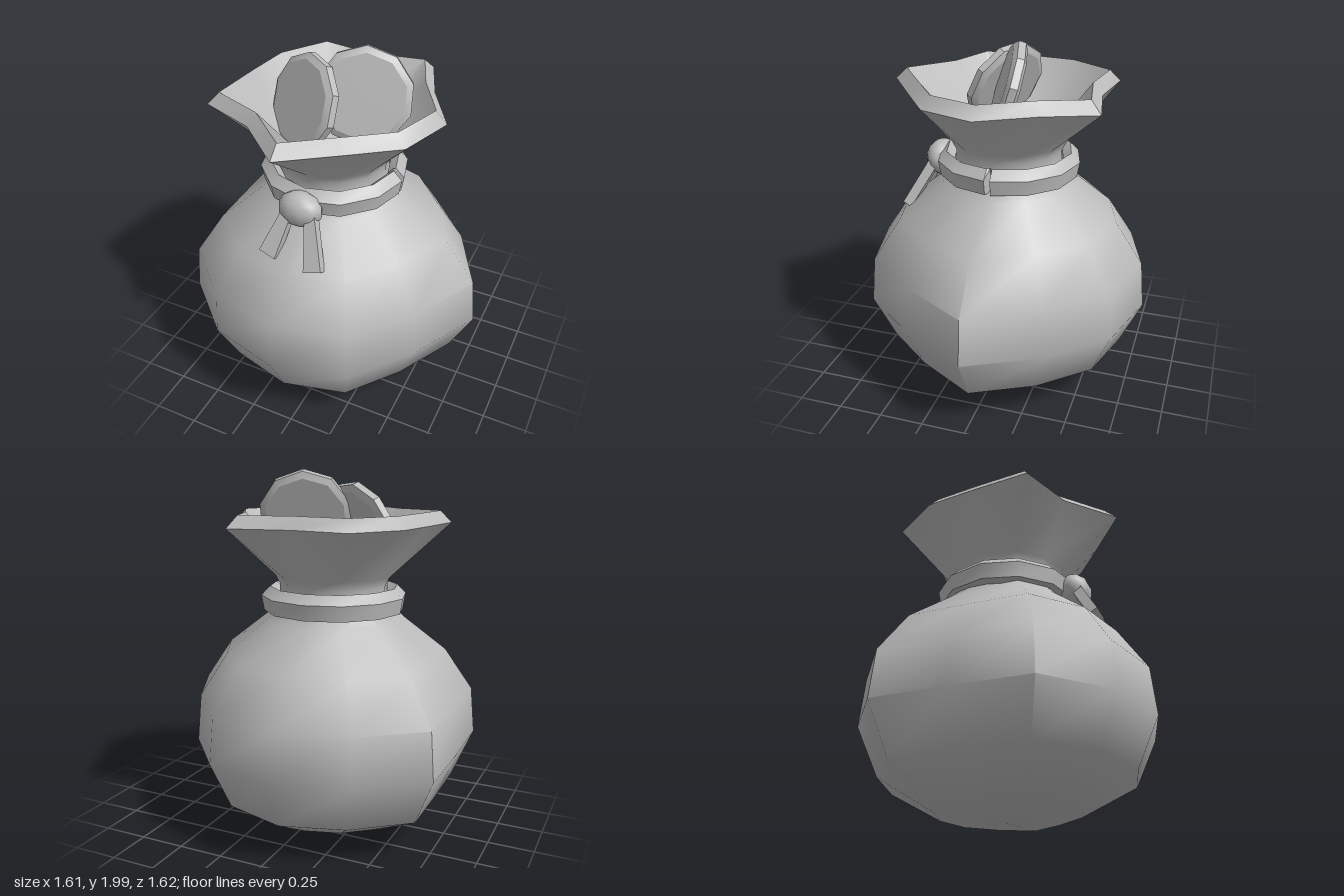
import * as THREE from 'three';
import { toCreasedNormals } from 'three/addons/utils/BufferGeometryUtils.js';

const CX = -0.07; // axis of the sack

// Skin a stack of closed rings (arrays of [x, y, z]), wound upward = outward
function loft(rings, crease) {
  const pos = [];
  const n = rings[0].length;
  const same = (p, q) => p.every((v, k) => Math.abs(v - q[k]) < 1e-6);
  const tri = (p, q, r) => {
    if (!same(p, q) && !same(q, r) && !same(p, r)) pos.push(...p, ...q, ...r);
  };
  for (let i = 0; i < rings.length - 1; i++) {
    for (let j = 0; j < n; j++) {
      const k = (j + 1) % n;
      tri(rings[i][j], rings[i + 1][j], rings[i][k]);
      tri(rings[i][k], rings[i + 1][j], rings[i + 1][k]);
    }
  }
  const geo = new THREE.BufferGeometry();
  geo.setAttribute('position', new THREE.Float32BufferAttribute(pos, 3));
  return toCreasedNormals(geo, crease);
}

// Evenly spaced ring; scale(j) varies the radius per corner
function ring(r, y, sides, scale = () => 1) {
  return Array.from({ length: sides }, (_, j) => {
    const t = (j / sides) * Math.PI * 2;
    const s = r * scale(j);
    return [Math.cos(t) * s, y, Math.sin(t) * s];
  });
}

export function createModel() {
  const group = new THREE.Group();
  const grey = new THREE.MeshStandardMaterial({ color: 0xbcbcbc });
  grey.name = 'plain grey';
  const add = (name, geo, x = 0, y = 0, z = 0) => {
    const mesh = new THREE.Mesh(geo, grey);
    mesh.name = name;
    mesh.position.set(x, y, z);
    group.add(mesh);
    return mesh;
  };

  // Sack: lumpy twelve-sided belly, narrow neck, jagged flared mouth
  const lumps = [1.085, 0.95, 1.01, 1, 1.005, 1.03, 0.905, 1.045, 0.98, 1, 0.99, 0.965];
  const belly = [
    [0, 0.005], [0.385, 0.05], [0.69, 0.22], [0.81, 0.485],
    [0.785, 0.75], [0.625, 0.99], [0.38, 1.19],
  ].map(([r, y]) => ring(r, y, 12, j => lumps[j]));
  const neck = [[0.305, 1.28], [0.3, 1.38], [0.325, 1.43]].map(([r, y]) => ring(r, y, 12));
  const mouth = [
    [0.55, 0], [0.45, 0.3], [0.2, 0.48], [CX, 0.67], [-0.33, 0.44], [-0.635, 0.33],
    [-0.605, 0], [-0.57, -0.28], [-0.39, -0.55], [CX, -0.51], [0.27, -0.57], [0.38, -0.29],
  ].map(([x, z]) => [x - CX, 1.71, z]);
  const lip = mouth.map(([x, , z]) => [x * 0.9, 1.775, z * 0.895]);
  const inside = [ring(0.27, 1.47, 12), ring(0, 1.42, 12)];
  add('sack', loft([...belly, ...neck, mouth, lip, ...inside], 0.9), CX);

  // Tie band around the neck, with a small notch where its ends meet
  const notch = 0.04;
  const angles = [0, notch];
  for (let j = 1; j < 12; j++) angles.push((j / 12) * Math.PI * 2);
  angles.push(Math.PI * 2 - notch);
  const section = [
    [0.31, 1.235], [0.39, 1.235], [0.405, 1.32], [0.355, 1.37], [0.31, 1.33], [0.31, 1.235],
  ];
  add('tieBand', loft(section.map(([r, y]) => angles.map((t, j) => {
    const s = j === 0 ? Math.min(r, 0.34) : r;
    return [Math.cos(t) * s, y, Math.sin(t) * s];
  })), 0.6), CX);

  // Knot and its two hanging ends
  const knot = new THREE.SphereGeometry(1, 10, 7);
  knot.scale(0.125, 0.1, 0.088);
  add('knot', knot, CX, 1.27, 0.405);
  const tail = (name, top, tip) => {
    const a = new THREE.Vector3(...top);
    const b = new THREE.Vector3(...tip);
    const geo = new THREE.BoxGeometry(0.1, a.distanceTo(b), 0.055);
    const p = geo.attributes.position;
    for (let i = 0; i < p.count; i++) if (p.getY(i) > 0) p.setX(i, p.getX(i) * 0.55);
    geo.computeVertexNormals();
    const mid = a.clone().add(b).multiplyScalar(0.5);
    const mesh = add(name, geo, mid.x, mid.y, mid.z);
    const up = a.clone().sub(b).normalize();
    const side = new THREE.Vector3(1, 0, 0).addScaledVector(up, -up.x).normalize();
    const front = new THREE.Vector3().crossVectors(side, up);
    mesh.quaternion.setFromRotationMatrix(new THREE.Matrix4().makeBasis(side, up, front));
  };
  tail('leftTail', [0, 1.27, 0.42], [0.08, 1.015, 0.56]);
  tail('rightTail', [-0.12, 1.27, 0.42], [-0.19, 1.035, 0.55]);

  // Bevelled coins poking out of the mouth
  const coinGeo = loft([
    [0, -0.038], [0.225, -0.038], [0.26, -0.02], [0.26, 0.02], [0.225, 0.038], [0, 0.038],
  ].map(([r, y]) => ring(r, y, 10)), 0.4);
  const coin = (name, centre, normal) => {
    const mesh = add(name, coinGeo, ...centre);
    mesh.quaternion.setFromUnitVectors(
      new THREE.Vector3(0, 1, 0), new THREE.Vector3(...normal).normalize());
  };
  coin('backCoin', [0.085, 1.745, -0.035], [0.32, 0.3, 0.9]);
  coin('frontCoin', [-0.21, 1.69, 0.068], [-0.46, 0.37, 0.8]);

  return group;
}
